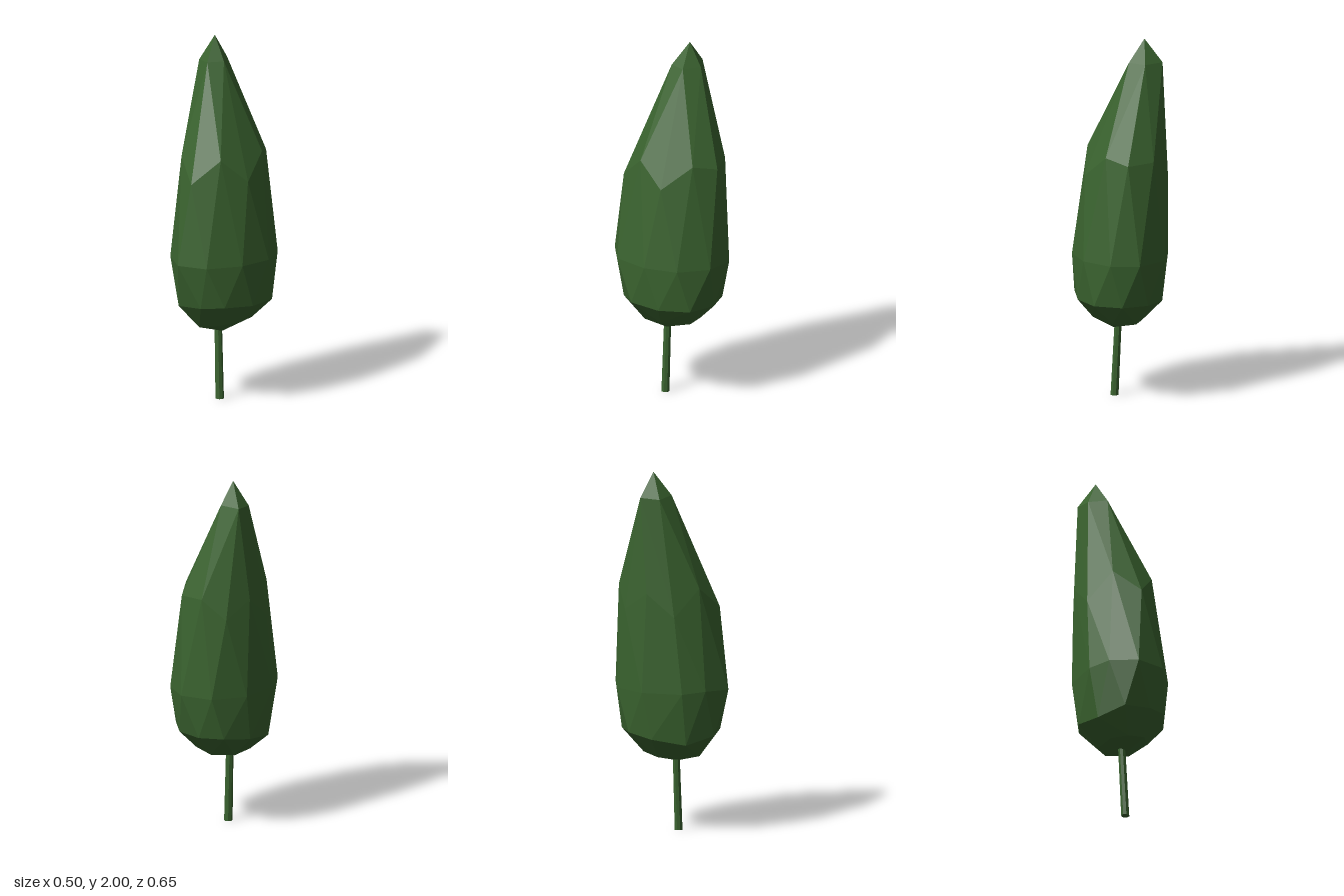
import * as THREE from 'three';
import { ConvexGeometry } from 'three/addons/geometries/ConvexGeometry.js';

// Each level of the crown: [x, y, z] corners running around the tree
const tip = [[-0.12, 2, -0.06]];
const neck = [
  [-0.21, 1.87, -0.1], [-0.18, 1.86, 0], [-0.08, 1.87, 0.03],
  [-0.035, 1.87, -0.05], [-0.1, 1.87, -0.13],
];
const shoulder = [
  [0.045, 1.25, 0.26], [0.14, 1.38, 0.13], [0.205, 1.25, -0.01], [0.14, 1.38, -0.17], [0.05, 1.35, -0.28],
  [-0.1, 1.36, -0.27], [-0.21, 1.25, -0.19], [-0.245, 1.35, -0.05], [-0.215, 1.22, 0.1], [-0.1, 1.37, 0.2],
];
const belly = [
  [0.01, 0.8, 0.325], [0.165, 0.8, 0.255], [0.25, 0.8, 0.07], [0.25, 0.8, -0.12], [0.15, 0.8, -0.275],
  [0, 0.8, -0.33], [-0.165, 0.8, -0.255], [-0.25, 0.8, -0.075], [-0.215, 0.8, 0.145], [-0.135, 0.81, 0.25],
];
const hip = [
  [-0.05, 0.55, 0.265], [0.1, 0.56, 0.24], [0.205, 0.57, 0.16], [0.245, 0.56, -0.01], [0.21, 0.56, -0.18],
  [0.08, 0.56, -0.27], [-0.07, 0.56, -0.265], [-0.18, 0.56, -0.18], [-0.225, 0.54, -0.03], [-0.17, 0.51, 0.15],
];
const base = [
  [0.03, 0.38, 0.02], [0.15, 0.45, 0.01], [0.09, 0.44, -0.14], [-0.04, 0.43, -0.15],
  [-0.11, 0.42, -0.04], [-0.08, 0.42, 0.1], [0, 0.42, 0.16], [0.1, 0.44, 0.12],
];

export function createModel() {
  const tree = new THREE.Group();
  tree.name = 'cypressTree';
  const green = new THREE.MeshStandardMaterial({ color: 0x3a632f, flatShading: true });

  // Faceted crown, leaning slightly toward its tip
  const points = [tip, neck, shoulder, belly, hip, base].flat().map((p) => new THREE.Vector3(...p));
  const crown = new THREE.Mesh(new ConvexGeometry(points), green);
  crown.name = 'crown';
  tree.add(crown);

  // Thin leaning trunk, sheared so its foot stays flat on the ground
  const height = 0.46;
  const trunkGeometry = new THREE.CylinderGeometry(0.02, 0.023, height, 8);
  trunkGeometry.translate(0, height / 2, 0);
  trunkGeometry.applyMatrix4(new THREE.Matrix4().makeShear(0, 0, -0.045, -0.015, 0, 0));
  const position = trunkGeometry.attributes.position;
  for (let i = 0; i < position.count; i++) {
    const y = position.getY(i);
    position.setX(i, position.getX(i) + 0.02);
    position.setZ(i, position.getZ(i) + 0.03);
    position.setY(i, Math.max(0, y));
  }
  trunkGeometry.computeVertexNormals();
  const trunk = new THREE.Mesh(trunkGeometry, green);
  trunk.name = 'trunk';
  tree.add(trunk);

  return tree;
}
